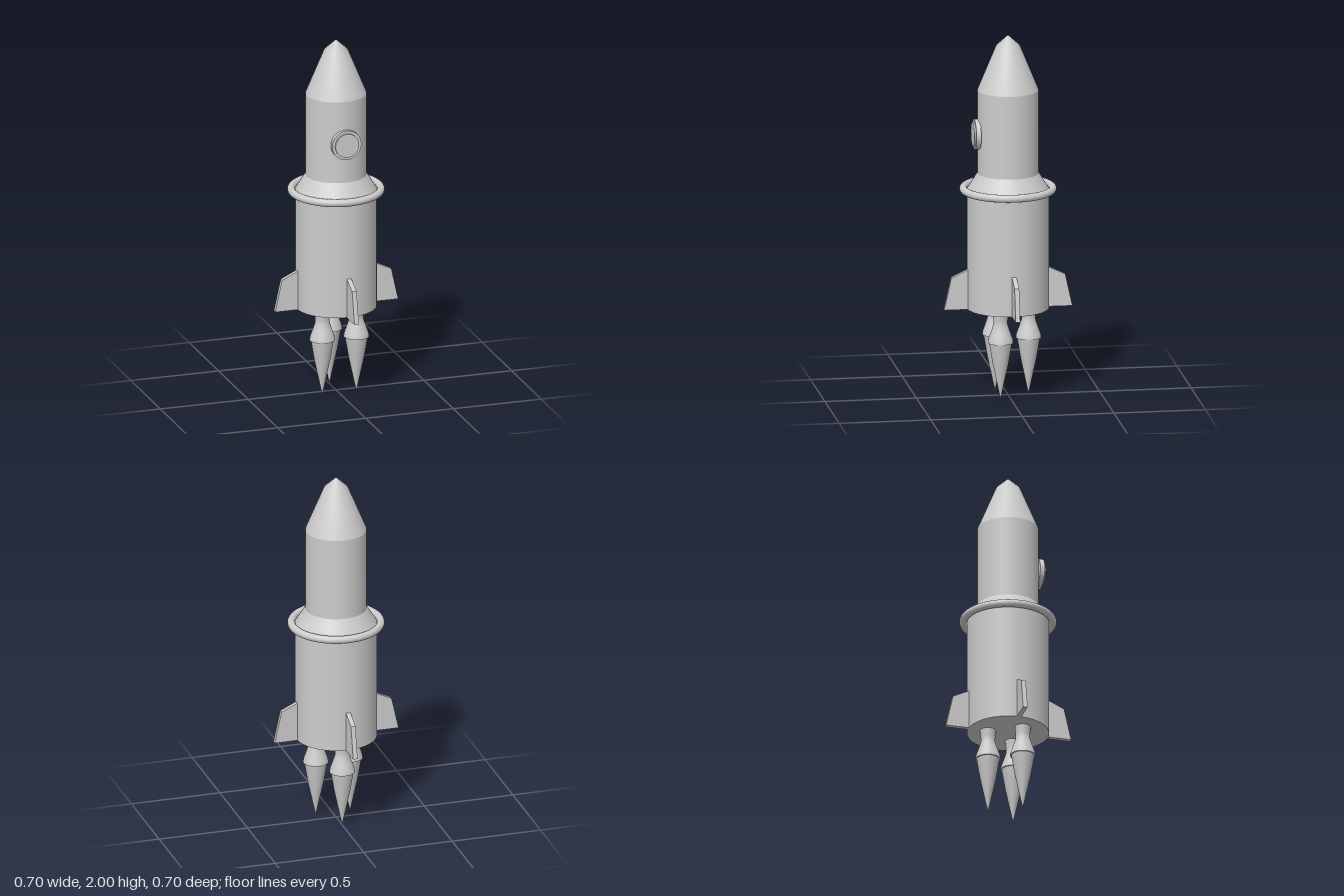
import * as THREE from 'three';

export function createModel() {
  const model = new THREE.Group();
  model.name = 'rocket';
  const grey = new THREE.MeshStandardMaterial({ color: 0xcccccc });
  grey.name = 'grey';

  const add = (name, geometry, parent = model) => {
    const mesh = new THREE.Mesh(geometry, grey);
    mesh.name = name;
    parent.add(mesh);
    return mesh;
  };
  // Profile of [radius, height] pairs, listed from bottom to top
  const lathe = (points, segments = 48) =>
    new THREE.LatheGeometry(points.map(([r, y]) => new THREE.Vector2(r, y)), segments);

  // Hull, one smooth section per part so that the seams stay sharp
  add('hullBase', lathe([[0, 0.485], [0.222, 0.485]]));
  add('lowerHull', lathe([[0.222, 0.485], [0.222, 1.145]]));
  add('shoulder', lathe([[0.222, 1.145], [0.166, 1.235]]));
  add('upperHull', lathe([[0.166, 1.235], [0.166, 1.695]]));
  add('noseCone', lathe([[0.166, 1.695], [0.064, 1.942], [0, 2]]));

  // Ring around the shoulder
  const ring = add('collarRing', new THREE.TorusGeometry(0.242, 0.021, 16, 48));
  ring.rotation.x = Math.PI / 2;
  ring.position.y = 1.147;

  // Porthole on the front
  const porthole = new THREE.Group();
  porthole.name = 'porthole';
  porthole.position.y = 1.453;
  porthole.rotation.x = Math.PI / 2;
  model.add(porthole);
  const disc = (name, radius, back, front) => {
    const mesh = add(name, new THREE.CylinderGeometry(radius, radius, front - back, 32), porthole);
    mesh.position.y = (front + back) / 2;
  };
  disc('portholeFrame', 0.083, 0.158, 0.184);
  disc('portholeGlass', 0.067, 0.17, 0.193);

  // Four fins
  const finShape = new THREE.Shape([
    [0.2, 0.485], [0.35, 0.485], [0.311, 0.662], [0.222, 0.704], [0.2, 0.704],
  ].map(([x, y]) => new THREE.Vector2(x, y)));
  const finGeometry = new THREE.ExtrudeGeometry(finShape, { depth: 0.025, bevelEnabled: false });
  finGeometry.translate(0, 0, -0.0125);
  for (let i = 0; i < 4; i++) {
    add('fin' + (i + 1), finGeometry).rotation.y = (i * Math.PI) / 2;
  }

  // Three engines with pointed exhaust flames, one of them at the back
  const bell = lathe([
    [0.069, 0.315], [0.066, 0.335], [0.05, 0.38], [0.039, 0.415], [0.039, 0.44], [0.044, 0.487],
  ], 32);
  const bellRim = lathe([[0, 0.315], [0.069, 0.315]], 32);
  const flame = lathe([[0, 0], [0.043, 0.2], [0.062, 0.315]], 32);
  for (let i = 0; i < 3; i++) {
    const angle = Math.PI + (i * 2 * Math.PI) / 3;
    const engine = new THREE.Group();
    engine.name = 'engine' + (i + 1);
    engine.position.set(0.112 * Math.sin(angle), 0, 0.112 * Math.cos(angle));
    add('nozzleBell', bell, engine);
    add('nozzleRim', bellRim, engine);
    add('flame', flame, engine);
    model.add(engine);
  }

  return model;
}
